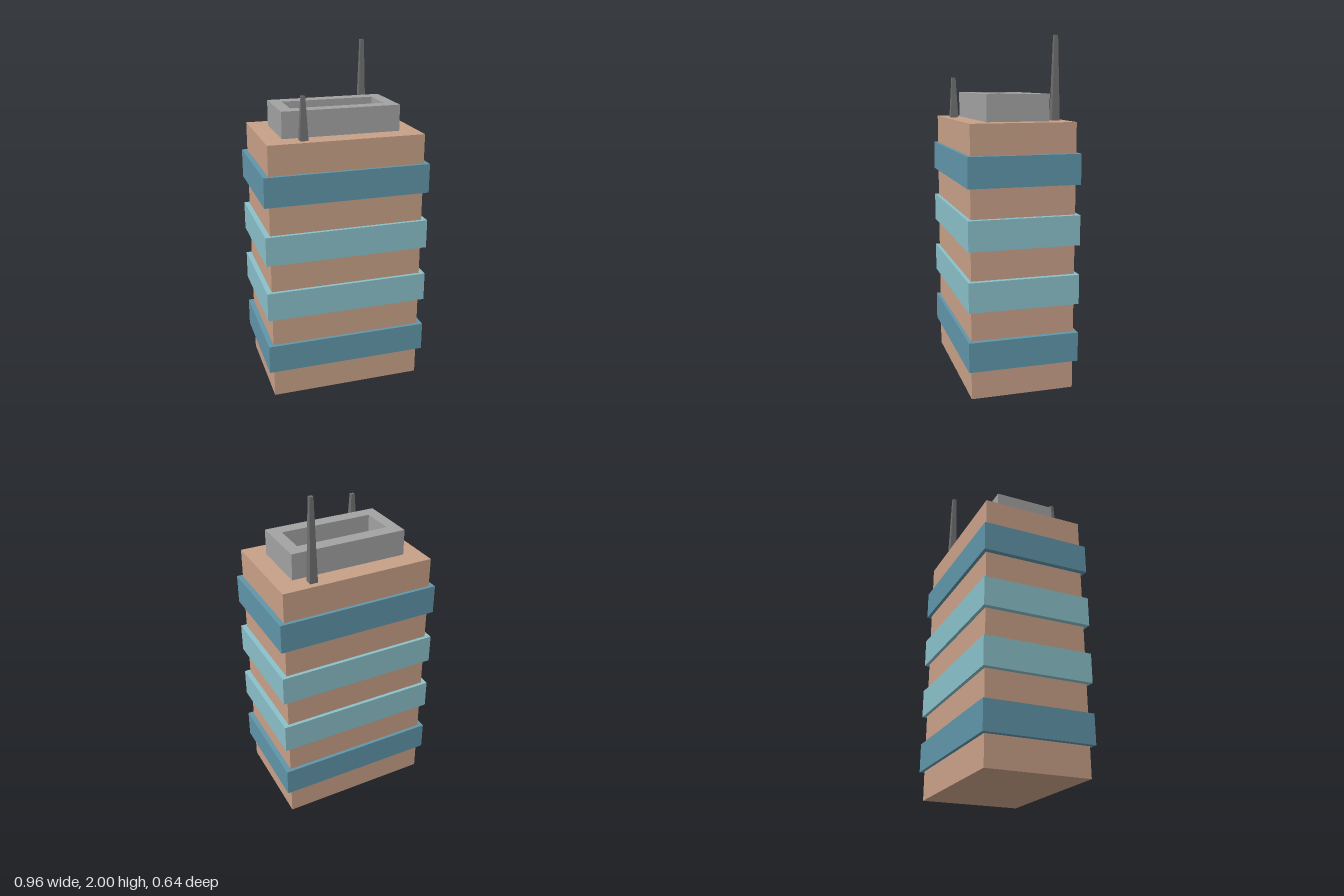
import * as THREE from 'three';

const paint = (name, color) => {
  const m = new THREE.MeshStandardMaterial({ color });
  m.name = name;
  return m;
};

export function createModel() {
  const tan = paint('tan wall', 0xc8a088);
  const darkBlue = paint('dark blue glass', 0x6095a9);
  const lightBlue = paint('light blue glass', 0x8ac0c9);
  const grey = paint('grey parapet', 0xa2a2a2);
  const darkGrey = paint('dark grey mast', 0x6f6f6f);

  const tower = new THREE.Group();
  tower.name = 'tower';
  const add = (name, geometry, material, x, y, z) => {
    const mesh = new THREE.Mesh(geometry, material);
    mesh.name = name;
    mesh.position.set(x, y, z);
    tower.add(mesh);
  };

  // Nine equal storeys: plain walls alternating with projecting window bands
  const storey = 0.17;
  const roofY = storey * 9;
  const glass = [darkBlue, lightBlue, lightBlue, darkBlue];
  for (let i = 0; i < 9; i++) {
    const y = (i + 0.5) * storey;
    if (i % 2) add('windowBand', new THREE.BoxGeometry(0.96, storey, 0.636), glass[(i - 1) / 2], 0, y, 0);
    else add('wall', new THREE.BoxGeometry(0.9, storey, 0.596), tan, 0, y, 0);
  }

  // Open rectangular parapet on the roof
  const rectangle = (path, w, d) => path.setFromPoints([
    new THREE.Vector2(-w, -d), new THREE.Vector2(w, -d),
    new THREE.Vector2(w, d), new THREE.Vector2(-w, d),
  ]);
  const outline = rectangle(new THREE.Shape(), 0.343, 0.179);
  outline.holes.push(rectangle(new THREE.Path(), 0.274, 0.1));
  const parapet = new THREE.ExtrudeGeometry(outline, { depth: 0.15, bevelEnabled: false });
  parapet.rotateX(-Math.PI / 2);
  add('roofParapet', parapet, grey, 0, roofY, 0);

  // Tapered square masts at opposite roof corners
  const mast = (name, x, z, top) => {
    const h = top - roofY;
    const g = new THREE.CylinderGeometry(0.011 * Math.SQRT2, 0.023 * Math.SQRT2, h, 4).toNonIndexed();
    g.rotateY(Math.PI / 4);
    g.computeVertexNormals();
    add(name, g, darkGrey, x, roofY + h / 2, z);
  };
  mast('tallMast', 0.256, -0.24, 2);
  mast('shortMast', -0.237, 0.237, 1.77);

  return tower;
}
